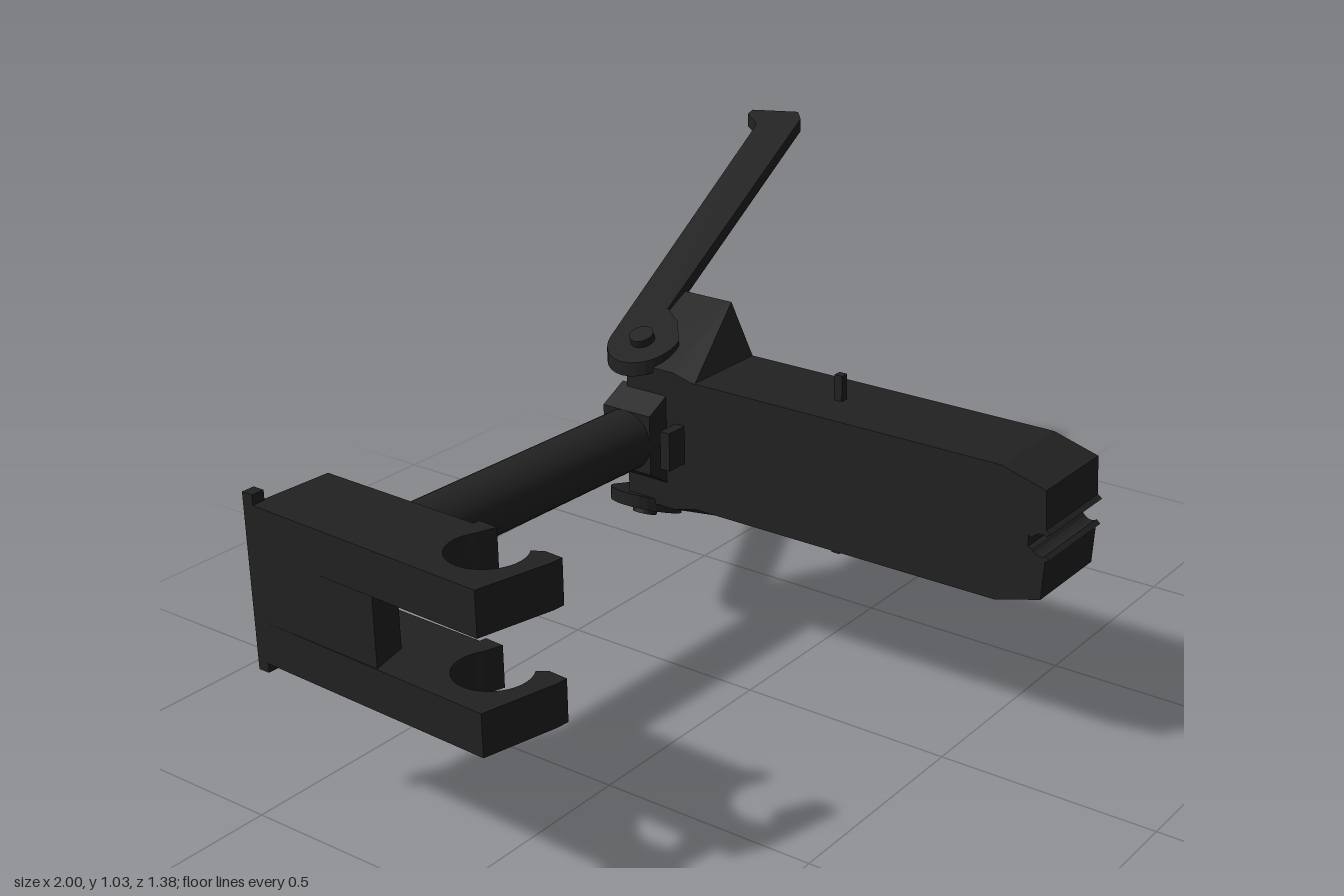
import * as THREE from 'three';
import { ConvexGeometry } from 'three/addons/geometries/ConvexGeometry.js';

const MID = 0.515; // height of the mirror plane
const black = new THREE.MeshStandardMaterial({ color: 0x222222 });
black.name = 'black plastic';
const grey = new THREE.MeshStandardMaterial({ color: 0x8a8a8a });
grey.name = 'screw grey';

// Extrude a plan outline of [x, z] points from y0 to y1
function plan(points, y0, y1) {
  const shape = new THREE.Shape(points.map(([x, z]) => new THREE.Vector2(x, -z)));
  const geo = new THREE.ExtrudeGeometry(shape, { depth: y1 - y0, bevelEnabled: false });
  return geo.rotateX(-Math.PI / 2).translate(0, y0, 0);
}

// Extrude a side outline of [z, y] points from x0 to x1
function side(points, x0, x1) {
  const shape = new THREE.Shape(points.map(([z, y]) => new THREE.Vector2(-z, y)));
  const geo = new THREE.ExtrudeGeometry(shape, { depth: x1 - x0, bevelEnabled: false });
  return geo.rotateY(Math.PI / 2).translate(x0, 0, 0);
}

function arc(cx, cy, r, from, to, n) {
  return Array.from({ length: n + 1 }, (_, i) => {
    const a = THREE.MathUtils.degToRad(from + (to - from) * i / n);
    return [cx + r * Math.cos(a), cy + r * Math.sin(a)];
  });
}

export function createModel() {
  const model = new THREE.Group();
  const add = (name, geo, mat = black) => {
    const mesh = new THREE.Mesh(geo, mat);
    mesh.name = name;
    model.add(mesh);
    return mesh;
  };
  const box = (name, x0, x1, y0, y1, z0, z1) => add(name,
    new THREE.BoxGeometry(x1 - x0, y1 - y0, z1 - z0)
      .translate((x0 + x1) / 2, (y0 + y1) / 2, (z0 + z1) / 2));

  // Long body with chamfered nose and a rounded snap notch
  add('body', side([
    [-0.3, 0.365], [0.57, 0.365], [0.675, 0.395], [0.68, 0.48], [0.69, 0.487], [0.68, 0.495],
    ...arc(0.67, MID, 0.025, -70, -150, 4), [0.64, 0.505],
    [0.64, 0.53], ...arc(0.67, MID, 0.025, 150, 70, 4), [0.68, 0.537],
    [0.69, 0.544], [0.68, 0.552], [0.675, 0.637], [0.57, 0.667], [-0.3, 0.667],
  ], 0.07, 0.29));
  box('notchRecess', 0.285, 0.292, 0.49, 0.54, 0.59, 0.64);

  // Flared hinge head, taller on its outer side
  const flare = [];
  for (const s of [-1, 1]) {
    for (const [x, h, z] of [
      [0.07, 0.15, -0.2], [0.29, 0.15, -0.2], [0.07, 0.165, -0.26],
      [0.29, 0.268, -0.26], [0.07, 0.165, -0.39], [0.29, 0.268, -0.39],
    ]) flare.push(new THREE.Vector3(x, MID + s * h, z));
  }
  add('hingeHead', new ConvexGeometry(flare));

  // Splayed arms with rounded hinge ends and hooked tips
  const armOutline = [
    ...arc(0.125, -0.38, 0.085, 78, 258, 14),
    [0.9, -0.635], [0.925, -0.645], [0.953, -0.69], [0.972, -0.69],
    [0.985, -0.62], [0.995, -0.565], [0.97, -0.54], [0.23, -0.395], [0.2, -0.345],
  ];
  for (const s of [1, -1]) {
    const geo = plan(armOutline, -0.016, 0.016);
    const p = geo.attributes.position;
    for (let i = 0; i < p.count; i++) {
      p.setY(i, p.getY(i) + MID + s * (0.144 + 0.356 * p.getX(i)));
    }
    geo.computeVertexNormals();
    add(s > 0 ? 'upperArm' : 'lowerArm', geo);
    const bolt = add('hingeBolt', new THREE.CylinderGeometry(0.028, 0.028, 0.05, 20));
    bolt.position.set(0.12, MID + s * 0.195, -0.38);
    bolt.rotation.z = s * 0.342;
    // Small locating pin on the body
    box('bodyPin', 0.17, 0.19, MID + s * 0.175 - 0.035, MID + s * 0.175 + 0.035, 0.1, 0.12);
  }

  // Cross tube and its flared root
  const a = new THREE.Vector3(-0.8, 0.52, -0.378);
  const b = new THREE.Vector3(0.08, 0.52, -0.347);
  const tube = add('crossTube', new THREE.CylinderGeometry(0.07, 0.07, a.distanceTo(b), 32));
  tube.position.copy(a).add(b).multiplyScalar(0.5);
  tube.quaternion.setFromUnitVectors(new THREE.Vector3(0, 1, 0), b.clone().sub(a).normalize());
  const root = new THREE.Shape([[0.01, 0.45], [0.08, 0.405], [0.08, 0.625], [0.01, 0.59]]
    .map(([x, y]) => new THREE.Vector2(x, y)));
  add('tubeRoot', new THREE.ExtrudeGeometry(root, { depth: 0.13, bevelEnabled: false })
    .translate(0, 0, -0.41));
  box('sideTab', 0.015, 0.08, 0.47, 0.56, -0.255, -0.23);

  // Clamp: two C-shaped forks joined by a stepped core
  const fork = [
    [-0.975, -0.472], [-0.78, -0.462], [-0.79, -0.07], [-0.775, -0.068], [-0.778, -0.022],
    ...arc(-0.865, 0.03, 0.08, -55, -305, 24),
    [-0.805, 0.118], [-0.808, 0.162], [-0.835, 0.16], [-1, 0.122],
  ];
  add('lowerFork', plan(fork, 0.348, 0.44));
  add('upperFork', plan(fork, 0.592, 0.688));
  add('clampCore', plan([
    [-0.975, -0.472], [-0.78, -0.462], [-0.784, -0.36], [-0.89, -0.32],
    [-0.9, -0.17], [-0.986, -0.15],
  ], 0.44, 0.592));
  box('clampPin', -0.975, -0.945, 0.327, 0.71, -0.492, -0.465);

  // Screws under the body
  for (const [z, r] of [[0.31, 0.04], [0.445, 0.03]]) {
    add('screw', new THREE.CylinderGeometry(r, r, 0.009, 24).translate(0.18, 0.361, z), grey);
  }
  return model;
}
